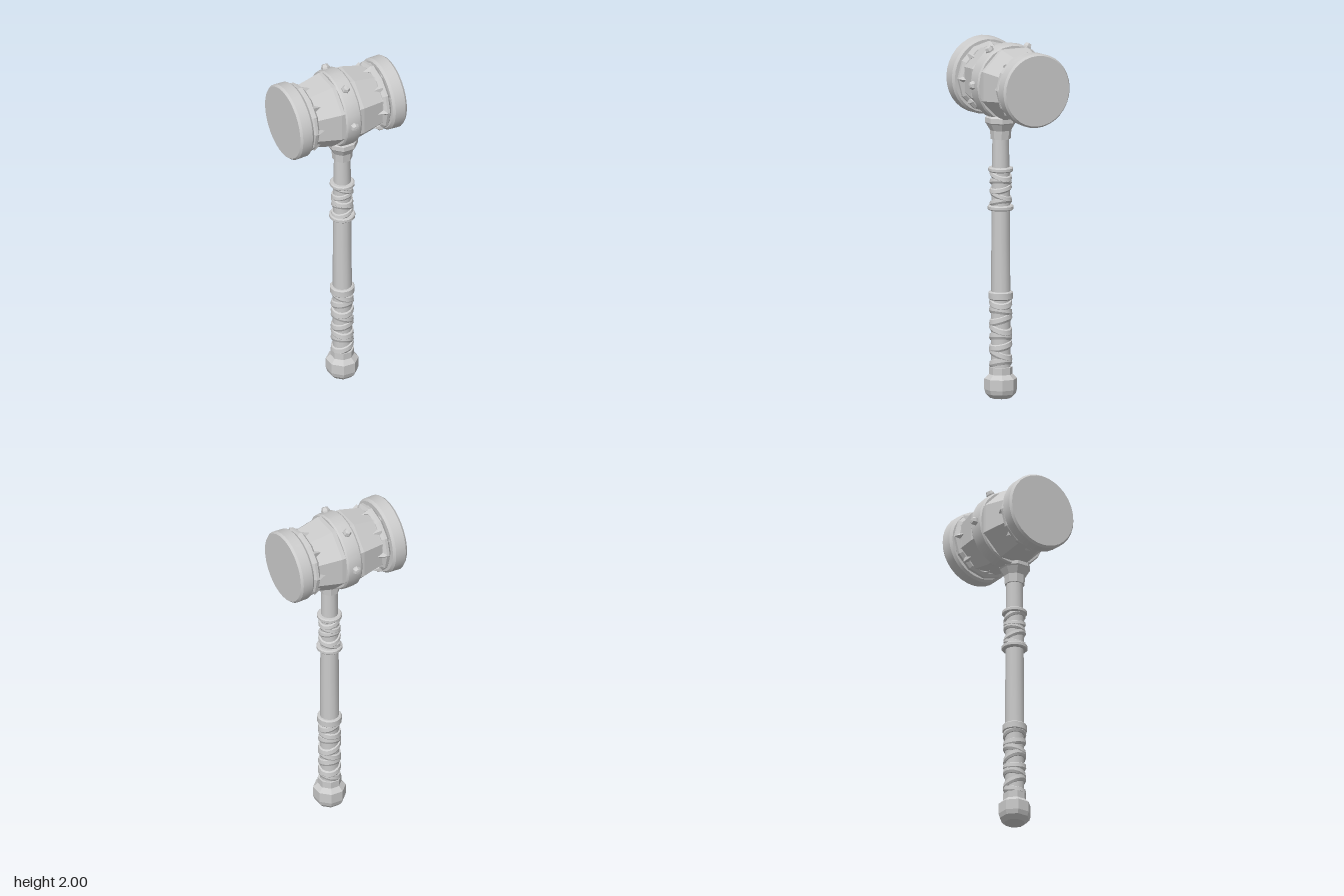
import * as THREE from 'three';
import { toCreasedNormals } from 'three/addons/utils/BufferGeometryUtils.js';

const smooth = new THREE.MeshStandardMaterial({ color: 0xcccccc });
const faceted = new THREE.MeshStandardMaterial({ color: 0xcccccc, flatShading: true });

function add(parent, name, geometry, material = smooth) {
  const mesh = new THREE.Mesh(geometry, material);
  mesh.name = name;
  parent.add(mesh);
  return mesh;
}

// Turned part from [radius, height] pairs, listed upwards
function turned(points, sides, start = 0) {
  return new THREE.LatheGeometry(points.map(([r, y]) => new THREE.Vector2(r, y)), sides, start);
}
const crease = (geometry, angle = 0.5) => toCreasedNormals(geometry, angle);

// Same, but lying along x: pairs are [radius, x]
const turnedX = (points, sides, start) => turned(points, sides, start).rotateZ(-Math.PI / 2);

// Leather wrapping: slanted overlapping straps around a core
function addWrap(parent, name, y0, y1, r, count, slant) {
  const wrap = new THREE.Group();
  wrap.name = name;
  parent.add(wrap);
  add(wrap, name + 'Core', crease(turned([[r - 0.008, y0], [r - 0.008, y1]], 14)));
  const pitch = (y1 - y0) / count;
  for (let i = 0; i < count; i++) {
    const h = pitch * 0.44;
    const g = turned([[r - 0.014, -h], [r - 0.003, -h], [r + 0.003, -h * 0.4],
      [r, h * 0.7], [r - 0.014, h]], 16, i * 0.7);
    const turn = i * 2.3;
    const k = slant * (0.75 + 0.25 * Math.sin(i * 1.9));
    const p = g.attributes.position;
    const yMid = y0 + pitch * (i + 0.5);
    for (let j = 0; j < p.count; j++) {
      const tilt = k * (Math.cos(turn) * p.getX(j) + Math.sin(turn) * p.getZ(j));
      p.setY(j, THREE.MathUtils.clamp(p.getY(j) + yMid + tilt, y0, y1));
    }
    g.computeVertexNormals();
    add(wrap, 'strap', crease(g));
  }
}

function buildHandle() {
  const handle = new THREE.Group();
  handle.name = 'handle';
  handle.position.set(0.007, 0, 0.045);

  // Eight-sided pommel
  add(handle, 'pommel', turned([[0, 0], [0.06, 0.006], [0.084, 0.03], [0.092, 0.055],
    [0.092, 0.115], [0.066, 0.14], [0.066, 0.18], [0, 0.185]], 8, Math.PI / 8), faceted);
  addWrap(handle, 'lowerGrip', 0.18, 0.57, 0.062, 8, 0.4);

  // Shaft and its rings
  add(handle, 'shaft', crease(turned([[0.054, 0.56], [0.052, 0.9], [0.05, 1.2], [0.046, 1.5]], 12), 0.7));
  const rings = [['gripRing', 0.56, 0.606, 0.069], ['middleRing', 1.065, 1.092, 0.073], ['upperRing', 1.28, 1.306, 0.07]];
  for (const [name, y0, y1, r] of rings) {
    const b = 0.006;
    add(handle, name, crease(turned([[0.03, y0], [r - b, y0], [r, y0 + b],
      [r, y1 - b], [r - b, y1], [0.03, y1]], 16)));
  }
  addWrap(handle, 'upperGrip', 1.09, 1.282, 0.06, 5, 0.4);

  // Flared socket that carries the head
  add(handle, 'socket', turned([[0, 1.465], [0.056, 1.465], [0.06, 1.515], [0.082, 1.553],
    [0.088, 1.56], [0.088, 1.588], [0.07, 1.6], [0, 1.6]], 8, Math.PI / 8), faceted);
  return handle;
}

function buildHead() {
  const head = new THREE.Group();
  head.name = 'head';
  head.position.set(0, 1.777, -0.01);

  // Eight-sided barrel, swelling toward the middle
  add(head, 'barrel', turnedX([[0.182, -0.27], [0.184, -0.2], [0.214, -0.07], [0.214, 0.07],
    [0.184, 0.2], [0.182, 0.27]], 8, Math.PI / 8), faceted);

  // Central band with studs
  add(head, 'centreBand', crease(turnedX([[0.18, -0.05], [0.213, -0.05], [0.22, -0.04],
    [0.222, 0], [0.22, 0.037], [0.213, 0.047], [0.18, 0.047]], 20)));
  for (const degrees of [-90, -32, 32, 90]) {
    const arm = new THREE.Group();
    arm.name = 'studArm';
    arm.rotation.x = THREE.MathUtils.degToRad(degrees);
    arm.position.x = -0.005;
    add(arm, 'stud', turned([[0.023, 0.2], [0.025, 0.228], [0.017, 0.245], [0, 0.247]], 6), faceted);
    head.add(arm);
  }

  for (const side of [-1, 1]) {
    const end = new THREE.Group();
    end.name = side > 0 ? 'leftEnd' : 'rightEnd';
    const r = side > 0 ? 0.209 : 0.219;

    // Striking cap
    add(end, 'strikingCap', crease(turnedX([[0, 0.25], [r - 0.014, 0.25], [r - 0.002, 0.264],
      [r, 0.325], [r - 0.01, 0.338], [0, 0.338]], 32)));

    // Bevelled collar with spikes lying on the barrel
    add(end, 'spikeCollar', turnedX([[0.165, 0.2], [0.183, 0.203], [0.199, 0.217],
      [0.199, 0.233], [0.18, 0.249], [0.165, 0.25]], 12), faceted);
    for (let i = 0; i < 8; i++) {
      const arm = new THREE.Group();
      arm.name = 'spikeArm';
      arm.rotation.x = (i * Math.PI) / 4;
      const spike = add(arm, 'spike', new THREE.ConeGeometry(0.024, 0.05, 4).rotateZ(Math.PI / 2), faceted);
      spike.position.set(0.192, 0.178, 0);
      end.add(arm);
    }
    if (side < 0) end.rotation.y = Math.PI;
    head.add(end);
  }
  return head;
}

export function createModel() {
  const model = new THREE.Group();
  model.name = 'warHammer';
  model.add(buildHandle(), buildHead());
  return model;
}
